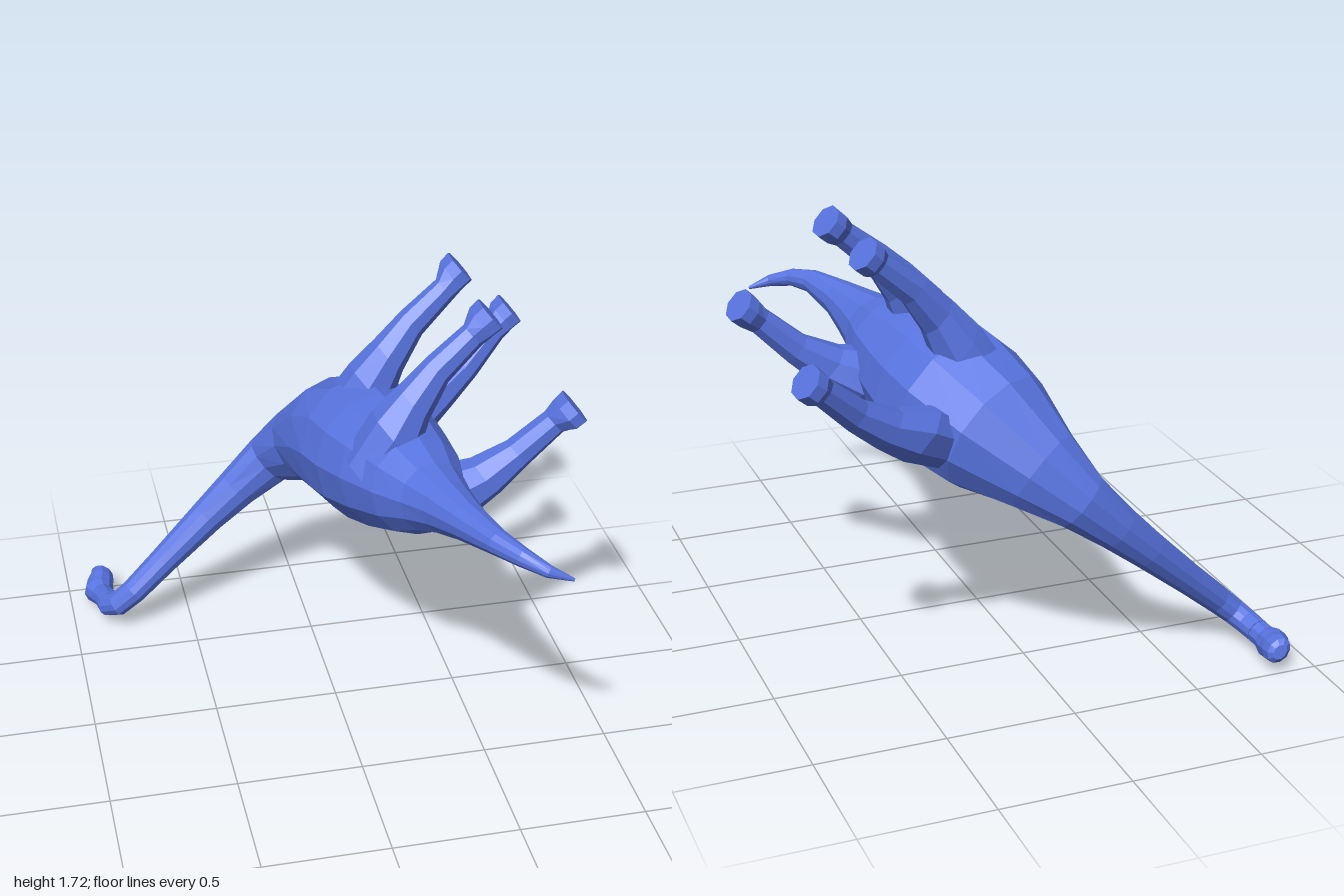
import * as THREE from 'three';

// Skin over elliptical rings. Each ring: [x, y, z, side radius, other radius].
// With no fixed direction the rings stand square to the path.
function skin(rings, sides, fixedDir) {
  const pos = [], idx = [], n = rings.length;
  const centres = rings.map(r => new THREE.Vector3(r[0], r[1], r[2]));
  rings.forEach((r, i) => {
    const dir = fixedDir ? fixedDir.clone()
      : centres[Math.min(i + 1, n - 1)].clone().sub(centres[Math.max(i - 1, 0)]).normalize();
    const side = new THREE.Vector3(1, 0, 0).addScaledVector(dir, -dir.x).normalize();
    const up = dir.clone().cross(side);
    for (let j = 0; j < sides; j++) {
      const t = (j + 0.5) / sides * Math.PI * 2;
      const p = centres[i].clone()
        .addScaledVector(side, Math.cos(t) * r[3])
        .addScaledVector(up, Math.sin(t) * r[4]);
      pos.push(p.x, p.y, p.z);
    }
  });
  for (let i = 0; i < n - 1; i++) {
    for (let j = 0; j < sides; j++) {
      const k = (j + 1) % sides, a = i * sides, b = a + sides;
      idx.push(a + j, a + k, b + k, a + j, b + k, b + j);
    }
  }
  // end caps
  const c = n * sides, last = (n - 1) * sides;
  pos.push(...centres[0].toArray(), ...centres[n - 1].toArray());
  for (let j = 0; j < sides; j++) {
    const k = (j + 1) % sides;
    idx.push(c, k, j, c + 1, last + j, last + k);
  }
  const g = new THREE.BufferGeometry();
  g.setAttribute('position', new THREE.Float32BufferAttribute(pos, 3));
  g.setIndex(idx);
  g.computeVertexNormals();
  return g;
}

export function createModel() {
  const blueSkin = new THREE.MeshStandardMaterial({ color: 0x5874e0, flatShading: true });
  blueSkin.name = 'blueSkin';

  // The animal is built standing with y up and facing +z, then tipped over.
  const animal = new THREE.Group();
  animal.name = 'longNeckedDinosaur';
  const add = (name, geometry) => {
    const m = new THREE.Mesh(geometry, blueSkin);
    m.name = name;
    animal.add(m);
  };

  // one skin from the curled tail tip through the trunk and up the neck
  add('tailBodyAndNeck', skin([
    [0.22, 0.325, -0.995, 0.006, 0.006],
    [0.14, 0.37, -0.97, 0.024, 0.024],
    [0.07, 0.41, -0.9, 0.036, 0.036],
    [0.027, 0.45, -0.8, 0.048, 0.048],
    [0.004, 0.51, -0.6, 0.078, 0.075],
    [0, 0.55, -0.45, 0.11, 0.105],
    [0, 0.585, -0.33, 0.14, 0.14],
    [0, 0.62, -0.2, 0.2, 0.195],
    [0, 0.67, -0.02, 0.255, 0.24],
    [0, 0.71, 0.14, 0.28, 0.27],
    [0, 0.745, 0.31, 0.285, 0.285],
    [0, 0.84, 0.485, 0.255, 0.25],
    [0, 1.0, 0.65, 0.175, 0.145],
    [0, 1.16, 0.74, 0.118, 0.092],
    [0, 1.35, 0.742, 0.092, 0.083],
    [0, 1.53, 0.73, 0.077, 0.074],
    [0, 1.8, 0.695, 0.062, 0.062],
    [0, 1.98, 0.67, 0.056, 0.058],
    [0, 2.07, 0.68, 0.052, 0.058],
    [0, 2.12, 0.73, 0.05, 0.055],
    [0, 2.135, 0.8, 0.048, 0.048],
  ], 12));

  // head with a raised brow and a blunt snout
  add('head', skin([
    [0, 2.135, 0.79, 0.048, 0.046],
    [0, 2.15, 0.84, 0.05, 0.05],
    [0, 2.16, 0.88, 0.064, 0.064],
    [0, 2.15, 0.915, 0.06, 0.06],
    [0, 2.13, 0.945, 0.058, 0.046],
    [0, 2.125, 0.98, 0.053, 0.042],
    [0, 2.12, 0.998, 0.032, 0.024],
  ], 10));

  // legs in mid stride; columns are height, z, side radius, fore-aft radius
  const legs = {
    leftHindLeg: [[-0.015, -0.147, 0.067, 0.104], [0.03, -0.147, 0.065, 0.1], [0.085, -0.135, 0.053, 0.058],
      [0.27, -0.125, 0.064, 0.064], [0.42, -0.13, 0.09, 0.095], [0.56, -0.12, 0.13, 0.135], [0.76, -0.07, 0.11, 0.12]],
    rightHindLeg: [[-0.015, 0.02, 0.067, 0.096], [0.03, 0.02, 0.065, 0.092], [0.085, -0.01, 0.053, 0.05],
      [0.27, -0.035, 0.064, 0.06], [0.42, -0.065, 0.09, 0.085], [0.56, -0.075, 0.13, 0.125], [0.76, -0.07, 0.11, 0.12]],
    leftFrontLeg: [[-0.015, 0.735, 0.067, 0.1], [0.03, 0.733, 0.065, 0.095], [0.085, 0.69, 0.053, 0.052],
      [0.27, 0.63, 0.064, 0.06], [0.42, 0.585, 0.085, 0.085], [0.56, 0.535, 0.12, 0.12], [0.76, 0.45, 0.11, 0.12]],
    rightFrontLeg: [[-0.015, 0.46, 0.067, 0.096], [0.03, 0.455, 0.065, 0.092], [0.085, 0.405, 0.053, 0.048],
      [0.27, 0.375, 0.064, 0.06], [0.42, 0.345, 0.085, 0.085], [0.56, 0.345, 0.12, 0.115], [0.76, 0.37, 0.11, 0.12]],
  };
  const lean = [0.228, 0.228, 0.228, 0.232, 0.21, 0.165, 0.12];
  const upright = new THREE.Vector3(0, 1, 0);
  for (const [name, rows] of Object.entries(legs)) {
    const s = name.startsWith('left') ? 1 : -1;
    add(name, skin(rows.map(([y, z, rx, rz], i) => [s * lean[i], y, z, rx, rz]), 8, upright));
  }

  // tip the animal so its feet point up and to the side
  const side = new THREE.Vector3(0.66, -0.751, 0).normalize();
  const up = new THREE.Vector3(-0.751, -0.66, 0).normalize();
  const basis = new THREE.Matrix4().makeBasis(side, up, new THREE.Vector3(0, 0, -1));
  animal.quaternion.setFromRotationMatrix(basis);
  animal.position.set(0.745, 1.49, 0);

  const model = new THREE.Group();
  model.name = 'tippedDinosaur';
  model.add(animal);
  return model;
}
